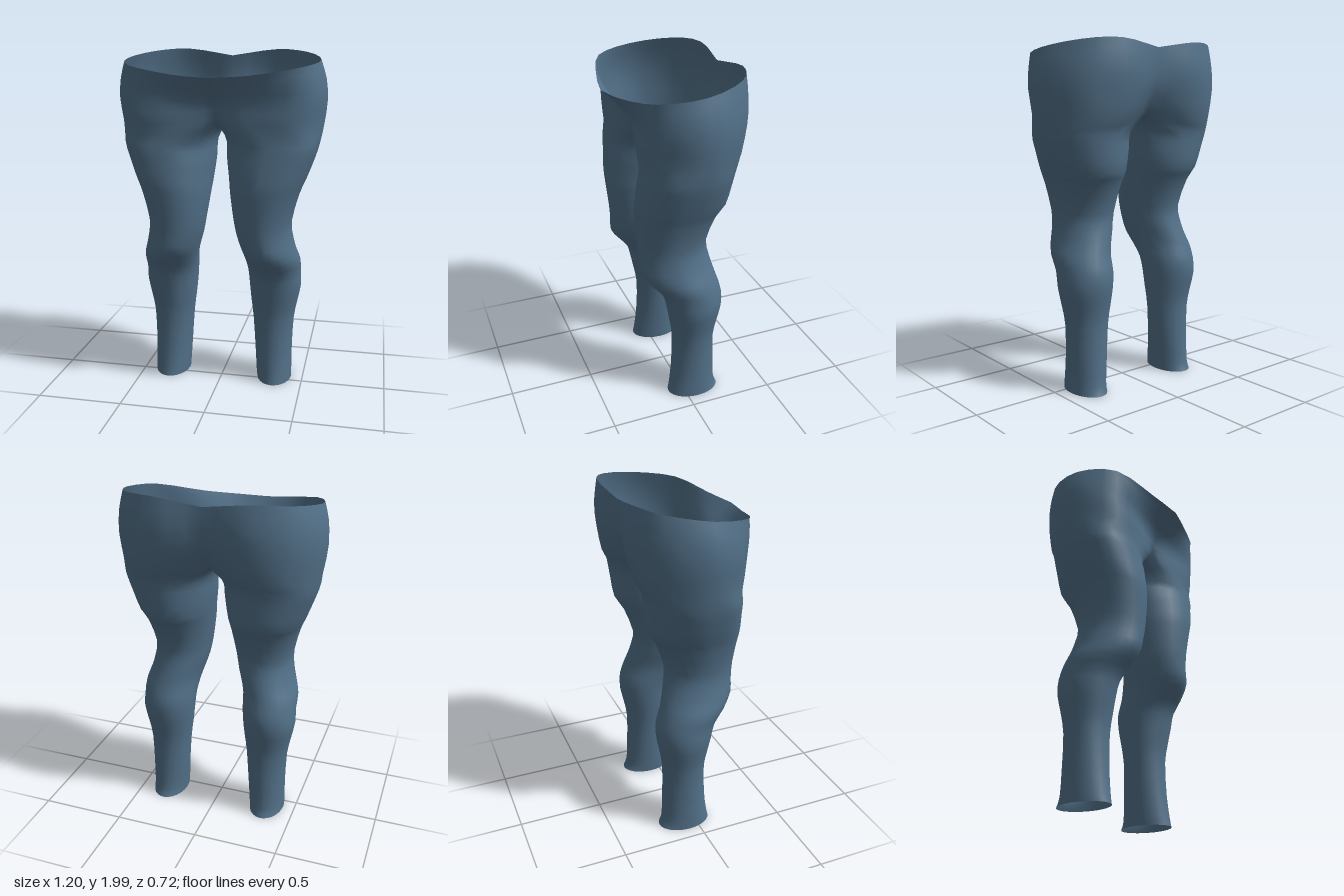
import * as THREE from 'three';
import { mergeVertices } from 'three/addons/utils/BufferGeometryUtils.js';

const V = (x, y, z) => new THREE.Vector3(x, y, z);
const OUTER = 18, INNER = 8, STEPS = 2; // segments round the outside, the inner thigh, and per span

// Leg sections from ankle to upper thigh:
// y, inner x, outer x, front z, back z, exponent of the outer front quarter (below 1 is fuller)
const LEG = [
  [0.01, 0.22, 0.43, 0.095, -0.22, 1],
  [0.06, 0.215, 0.43, 0.085, -0.2, 1],
  [0.2, 0.205, 0.43, 0.068, -0.192, 1],
  [0.4, 0.19, 0.437, 0.062, -0.187, 1],
  [0.52, 0.175, 0.458, 0.08, -0.205, 1],
  [0.62, 0.165, 0.477, 0.1, -0.225, 1],
  [0.71, 0.158, 0.474, 0.125, -0.225, 1],
  [0.79, 0.148, 0.474, 0.19, -0.2, 1.1],
  [0.86, 0.13, 0.452, 0.238, -0.18, 1.15],
  [0.94, 0.105, 0.432, 0.245, -0.16, 1.1],
  [1.04, 0.085, 0.423, 0.252, -0.15, 1],
  [1.2, 0.06, 0.462, 0.265, -0.205, 0.88],
  [1.28, 0.05, 0.495, 0.266, -0.255, 0.82],
  [1.4, 0.034, 0.54, 0.252, -0.27, 0.78],
  [1.49, 0.03, 0.566, 0.24, -0.28, 0.75],
];

// Half outlines of the hips, front centre round to back centre
const HIPS = [
  [[0, 1.63, 0.185], [0.18, 1.61, 0.228], [0.46, 1.6, 0.215], [0.587, 1.6, -0.02], [0.46, 1.59, -0.255], [0.24, 1.58, -0.318], [0, 1.61, -0.225]],
  [[0, 1.73, 0.215], [0.19, 1.73, 0.225], [0.48, 1.73, 0.215], [0.602, 1.73, -0.01], [0.485, 1.73, -0.255], [0.25, 1.73, -0.352], [0, 1.73, -0.295]],
  [[0, 1.8, 0.285], [0.2, 1.81, 0.268], [0.48, 1.835, 0.222], [0.592, 1.85, -0.01], [0.485, 1.86, -0.25], [0.26, 1.86, -0.362], [0, 1.85, -0.316]],
  [[0, 1.868, 0.357], [0.21, 1.88, 0.315], [0.48, 1.922, 0.218], [0.56, 1.952, -0.01], [0.465, 1.985, -0.24], [0.27, 1.998, -0.338], [0, 1.96, -0.318]],
];

// Crotch seam between the legs, back to front
const SEAM = [[0, 1.61, -0.225], [0, 1.575, -0.13], [0, 1.565, -0.04], [0, 1.575, 0.07], [0, 1.63, 0.185]];

const spline = (pts) => new THREE.CatmullRomCurve3(pts, false, 'catmullrom', 0.5);
const through = (rows) => spline(rows.map((p) => V(...p)));

function legPoint([y, xi, xo, zf, zb, exponent], degrees) {
  const a = THREE.MathUtils.degToRad(degrees);
  let c = Math.cos(a), s = Math.sin(a);
  if (c > 0 && s > 0) {
    c **= exponent;
    s **= exponent;
  }
  return V((xi + xo) / 2 + ((xo - xi) / 2) * c, y, (zf + zb) / 2 + ((zf - zb) / 2) * s);
}

// Smooth vertical column of points, kept on its own side of the middle
const column = (pts) => spline(pts).getPoints((pts.length - 1) * STEPS).map((p) => V(Math.max(0, p.x), p.y, p.z));

function trouserGeometry() {
  const hips = HIPS.map(through), seam = through(SEAM);
  const columns = [];
  // Columns that run from the ankle to the waist
  for (let i = 0; i <= OUTER; i++) {
    const u = i / OUTER;
    columns.push(column([...LEG.map((r) => legPoint(r, 120 - 240 * u)), ...hips.map((c) => c.getPoint(u))]));
  }
  // Inner leg columns that stop at the crotch seam
  for (let i = 1; i < INNER; i++) {
    const u = i / INNER;
    columns.push(column([...LEG.map((r) => legPoint(r, 240 - 120 * u)), seam.getPoint(u)]));
  }
  const pos = [];
  const tri = (a, b, c) => {
    for (const p of [a, b, c]) pos.push(p.x, p.y, p.z);
    for (const p of [a, c, b]) pos.push(-p.x, p.y, p.z); // mirrored side
  };
  columns.forEach((a, i) => {
    const b = columns[(i + 1) % columns.length];
    const rows = Math.min(a.length, b.length);
    for (let j = 0; j < rows - 1; j++) {
      tri(a[j], b[j], b[j + 1]);
      tri(a[j], b[j + 1], a[j + 1]);
    }
  });
  const geometry = new THREE.BufferGeometry();
  geometry.setAttribute('position', new THREE.Float32BufferAttribute(pos, 3));
  const merged = mergeVertices(geometry, 1e-4);
  merged.computeVertexNormals();
  return merged;
}

export function createModel() {
  const denimBlue = new THREE.MeshStandardMaterial({ color: 0x527088, side: THREE.DoubleSide });
  denimBlue.name = 'denimBlue';
  const trousers = new THREE.Mesh(trouserGeometry(), denimBlue);
  trousers.name = 'trousers';
  const group = new THREE.Group();
  group.name = 'trousersModel';
  group.add(trousers);
  return group;
}
